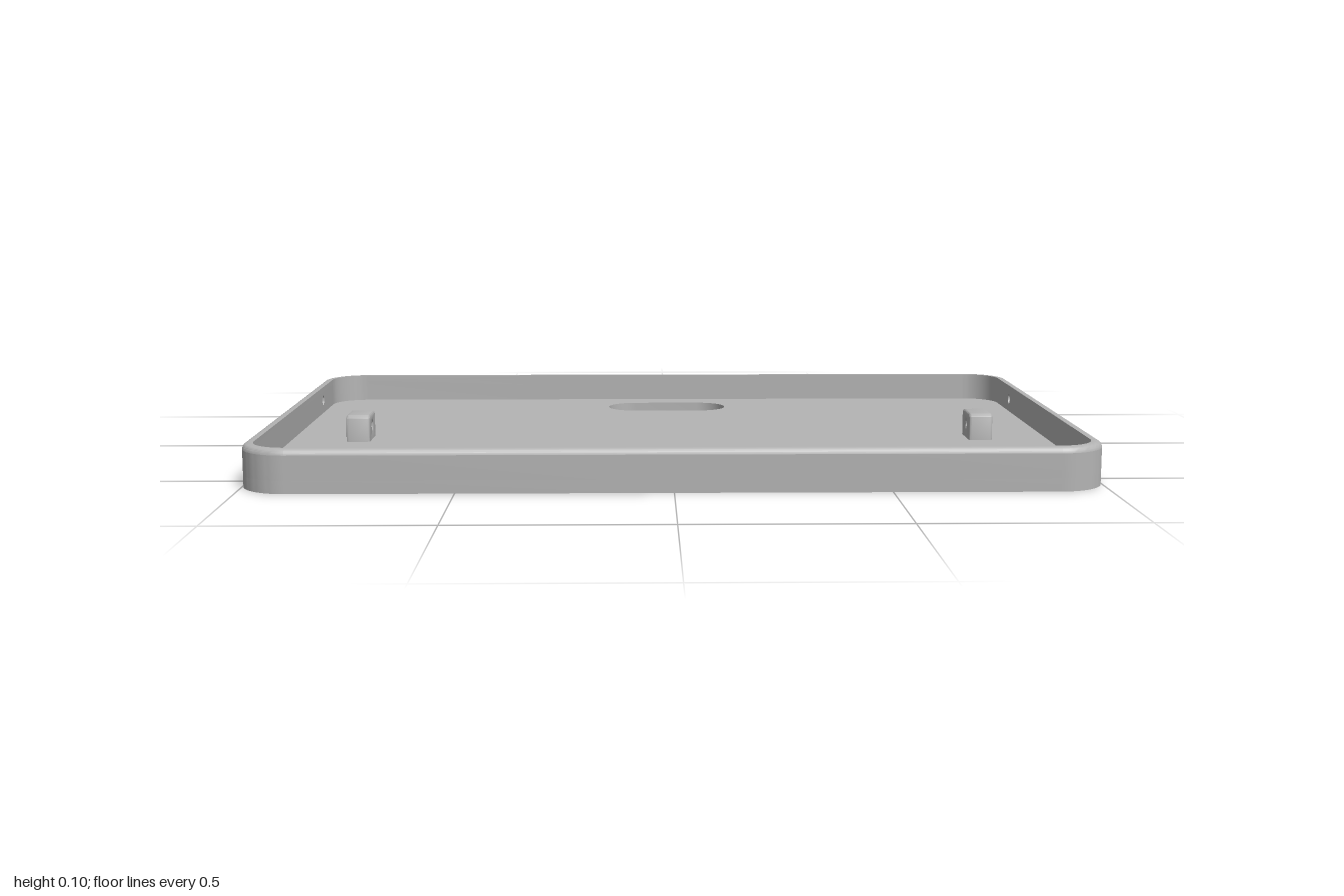
import * as THREE from 'three';
import { toCreasedNormals } from 'three/addons/utils/BufferGeometryUtils.js';

const HX = 1, HZ = 0.66, R = 0.115;          // half sizes and corner radius
const WALL = 0.025, FLOOR = 0.03, TOP = 0.1025, FILLET = 0.014;
const HOLE_Y = 0.065, HOLE_R = 0.014;

// Rounded rectangle outline, moved inward by inset
function roundedRect(inset = 0) {
  const s = new THREE.Shape();
  const cx = HX - R, cy = HZ - R, q = Math.PI / 2;
  [[1, 1], [-1, 1], [-1, -1], [1, -1]].forEach(([sx, sy], i) =>
    s.absarc(sx * cx, sy * cy, R - inset, i * q, (i + 1) * q, false));
  return s;
}

function circleHole(x, y, r) {
  return new THREE.Path().absarc(x, y, r, 0, Math.PI * 2, true);
}

function extrude(shape, depth, options = {}) {
  return toCreasedNormals(new THREE.ExtrudeGeometry(shape,
    { depth, bevelEnabled: false, curveSegments: 10, ...options }), 0.6);
}

// Closed band swept round the outline; profile is a list of [inset, height]
function sweepOutline(profile) {
  const pos = [], index = [];
  const n = roundedRect().getPoints(10).length;
  for (const [inset, y] of profile) {
    for (const p of roundedRect(inset).getPoints(10)) pos.push(p.x, y, -p.y);
  }
  for (let j = 0; j < profile.length - 1; j++) {
    for (let i = 0; i < n; i++) {
      const k = (i + 1) % n;
      const a = j * n + i, b = j * n + k, c = b + n, d = a + n;
      index.push(a, b, c, a, c, d);
    }
  }
  const g = new THREE.BufferGeometry();
  g.setAttribute('position', new THREE.Float32BufferAttribute(pos, 3));
  g.setIndex(index);
  return toCreasedNormals(g, 0.6);
}

export function createModel() {
  const group = new THREE.Group();
  const grey = new THREE.MeshStandardMaterial({ color: 0xb4b4b4 });
  grey.name = 'grey';

  function add(name, geometry) {
    const mesh = new THREE.Mesh(geometry, grey);
    mesh.name = name;
    group.add(mesh);
    return mesh;
  }

  // Floor with two long slots
  const floor = roundedRect();
  for (const z of [-0.48, 0.345]) {
    const slot = new THREE.Path(), r = 0.078, c = 0.167 - r, q = Math.PI / 2;
    slot.absarc(c, -z, r, -q, q, false);
    slot.absarc(-c, -z, r, q, 3 * q, false);
    slot.closePath();
    floor.holes.push(slot);
  }
  add('floor', extrude(floor, FLOOR).rotateX(-Math.PI / 2));

  // Front and back walls, each with its two rounded corners
  const wallHeight = TOP - FILLET - FLOOR;
  const cx = HX - R, cz = HZ - R, q = Math.PI / 2;
  const endShape = new THREE.Shape();
  endShape.absarc(cx, cz, R, 0, q, false);
  endShape.absarc(-cx, cz, R, q, 2 * q, false);
  endShape.absarc(-cx, cz, R - WALL, 2 * q, q, true);
  endShape.absarc(cx, cz, R - WALL, q, 0, true);
  endShape.closePath();
  const endWall = extrude(endShape, wallHeight).rotateX(-Math.PI / 2);
  endWall.translate(0, FLOOR, 0);
  add('backWall', endWall);
  add('frontWall', endWall).rotation.y = Math.PI;

  // Straight side walls, each with a screw hole
  const sideShape = new THREE.Shape();
  sideShape.moveTo(-cz, FLOOR);
  sideShape.lineTo(cz, FLOOR);
  sideShape.lineTo(cz, FLOOR + wallHeight);
  sideShape.lineTo(-cz, FLOOR + wallHeight);
  sideShape.closePath();
  sideShape.holes.push(circleHole(0.38, HOLE_Y, HOLE_R));
  const sideWall = extrude(sideShape, WALL).rotateY(Math.PI / 2);
  add('leftWall', sideWall).position.x = HX - WALL;
  add('rightWall', sideWall).position.x = -HX;

  // Rim, rounded on its outer edge
  const profile = [];
  for (let i = 0; i <= 4; i++) {
    const a = (i / 4) * q;
    profile.push([FILLET * (1 - Math.cos(a)), TOP - FILLET + FILLET * Math.sin(a)]);
  }
  profile.push([WALL, TOP], [WALL, TOP - FILLET]);
  add('rim', sweepOutline(profile));

  // Two small drilled posts standing on the floor
  const h = 0.052, top = 0.098, r = 0.014, bevel = 0.006;
  const postShape = new THREE.Shape();
  postShape.moveTo(-h, 0.015);
  postShape.lineTo(h, 0.015);
  postShape.absarc(h - r, top - r, r, 0, q, false);
  postShape.absarc(-h + r, top - r, r, q, 2 * q, false);
  postShape.closePath();
  postShape.holes.push(circleHole(0, HOLE_Y, 0.01));
  const post = extrude(postShape, 0.06 - 2 * bevel, {
    bevelEnabled: true, bevelSize: bevel, bevelOffset: -bevel,
    bevelThickness: bevel, bevelSegments: 3, curveSegments: 8,
  });
  post.translate(0, 0, -0.03 + bevel).rotateY(q);
  for (const [name, x] of [['leftPost', 0.8], ['rightPost', -0.8]]) {
    add(name, post).position.set(x, 0, 0.071);
  }

  return group;
}
